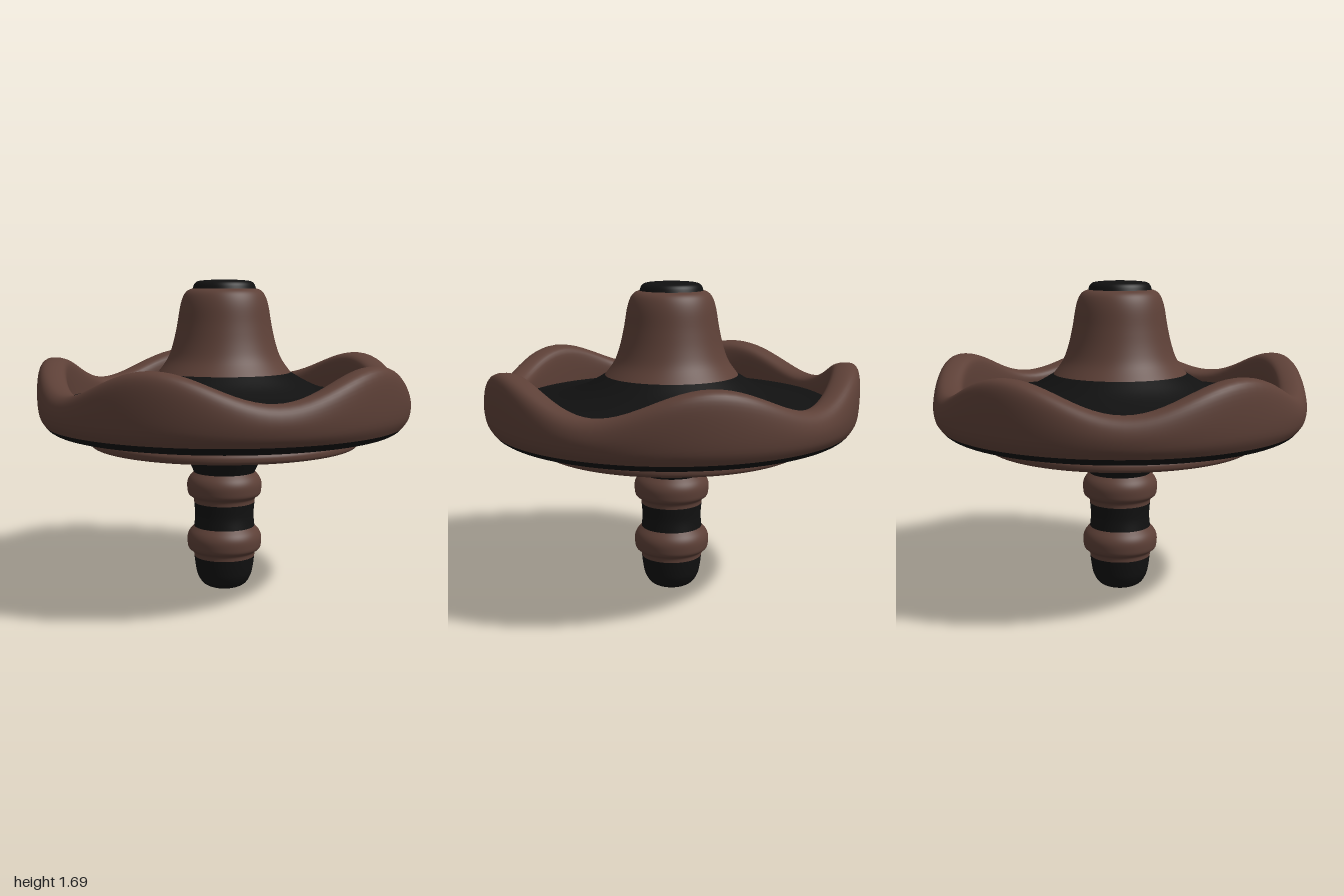
import * as THREE from 'three';
import { mergeVertices } from 'three/addons/utils/BufferGeometryUtils.js';

const SEGMENTS = 120;

// Smooth curve through a few [radius, height] points
function smooth(points, steps) {
  const curve = new THREE.SplineCurve(points.map(([r, y]) => new THREE.Vector2(r, y)));
  return curve.getPoints(steps).map((p) => p.set(Math.max(p.x, 0), p.y));
}

// Wavy rim: the cross-section blends from a low valley to a tall lobe, five times round
function rimGeometry() {
  const valley = smooth([[0.955, 0.93], [0.982, 0.97], [0.992, 1.03], [0.978, 1.085], [0.945, 1.118],
    [0.90, 1.124], [0.858, 1.112], [0.836, 1.085], [0.835, 1.03]], 32);
  const lobe = smooth([[0.955, 0.93], [0.985, 0.99], [0.995, 1.10], [0.99, 1.21], [0.965, 1.262],
    [0.91, 1.272], [0.85, 1.25], [0.836, 1.18], [0.84, 1.03]], 32);
  const geometry = new THREE.LatheGeometry(valley, SEGMENTS);
  const position = geometry.attributes.position;
  for (let k = 0; k < position.count; k++) {
    const j = k % valley.length;
    const angle = Math.floor(k / valley.length) / SEGMENTS * Math.PI * 2;
    const wave = 0.5 + 0.5 * Math.cos(5 * (angle + Math.PI / 2));
    const p = valley[j].clone().lerp(lobe[j], wave);
    position.setXYZ(k, p.x * Math.sin(angle), p.y, p.x * Math.cos(angle));
  }
  geometry.deleteAttribute('uv');
  geometry.deleteAttribute('normal');
  const welded = mergeVertices(geometry, 1e-4);
  welded.computeVertexNormals();
  return welded;
}

export function createModel() {
  const group = new THREE.Group();
  const brown = new THREE.MeshStandardMaterial({ color: 0x5d4037 });
  brown.name = 'brown';
  const black = new THREE.MeshStandardMaterial({ color: 0x111111 });
  black.name = 'black';

  function add(name, geometry, material) {
    const mesh = new THREE.Mesh(geometry, material);
    mesh.name = name;
    group.add(mesh);
  }
  const turn = (name, material, points) =>
    add(name, new THREE.LatheGeometry(smooth(points, points.length * 4), SEGMENTS), material);

  // Rounded tip and shaft with two raised bands
  turn('tip', black, [[0, 0.005], [0.06, 0.012], [0.115, 0.035], [0.145, 0.08], [0.157, 0.13], [0.165, 0.19]]);
  for (const [name, y] of [['lowerBand', 0.19], ['upperBand', 0.49]]) {
    turn(name, brown, [[0.165, y], [0.17, y + 0.025], [0.195, y + 0.045], [0.202, y + 0.075],
      [0.202, y + 0.11], [0.19, y + 0.14], [0.165, y + 0.168]]);
  }
  turn('shaft', black, [[0.165, 0.358], [0.16, 0.42], [0.165, 0.49]]);

  // Flared neck and underside
  turn('neck', black, [[0.165, 0.655], [0.185, 0.70], [0.215, 0.76], [0.265, 0.808], [0.34, 0.828], [0.47, 0.835]]);
  turn('lowerRing', brown, [[0.47, 0.835], [0.59, 0.832], [0.64, 0.815], [0.69, 0.81], [0.717, 0.82],
    [0.722, 0.845], [0.715, 0.868], [0.76, 0.874]]);
  turn('underside', black, [[0.76, 0.874], [0.83, 0.88], [0.90, 0.893], [0.935, 0.91], [0.955, 0.93]]);

  // Rim, dished deck, cone and cap
  add('wavyRim', rimGeometry(), brown);
  turn('deck', black, [[0.85, 1.06], [0.75, 1.065], [0.62, 1.085], [0.52, 1.115], [0.44, 1.15], [0.355, 1.20]]);
  turn('cone', brown, [[0.355, 1.20], [0.305, 1.27], [0.275, 1.35], [0.252, 1.45], [0.235, 1.55],
    [0.217, 1.605], [0.195, 1.632], [0.168, 1.643]]);
  turn('cap', black, [[0.168, 1.643], [0.158, 1.668], [0.135, 1.682], [0.07, 1.688], [0, 1.69]]);

  return group;
}
